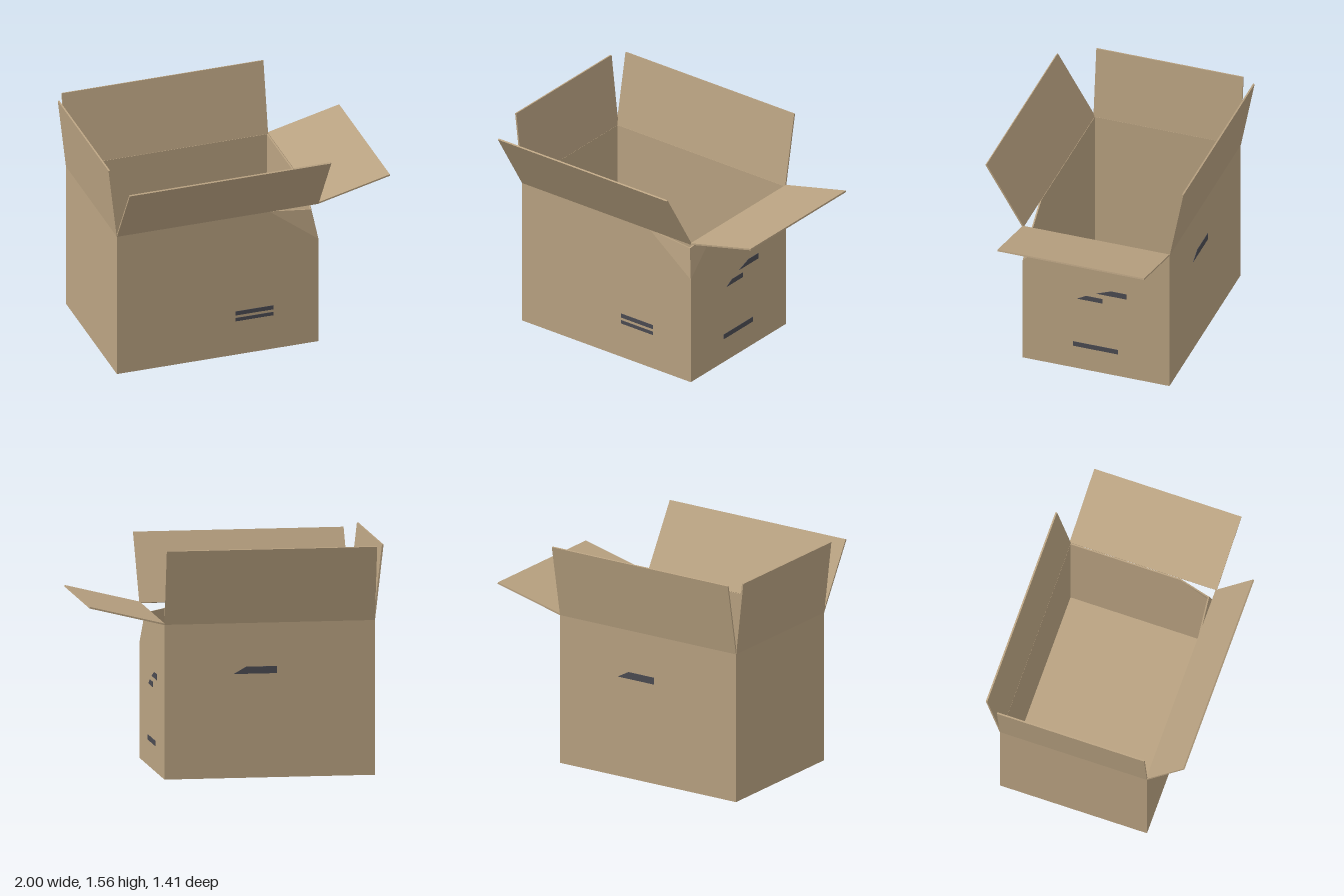
import * as THREE from 'three';

const X0 = -0.94, X1 = 0.49, Z0 = -0.605, Z1 = 0.44, H = 1.05, T = 0.01;

export function createModel() {
  const group = new THREE.Group();
  const card = new THREE.MeshStandardMaterial({ color: 0xbaa382 });
  card.name = 'cardboard';
  const ink = new THREE.MeshStandardMaterial({ color: 0x4b4b52 });
  ink.name = 'dark ink';

  function add(name, geometry, material = card) {
    const mesh = new THREE.Mesh(geometry, material);
    mesh.name = name;
    group.add(mesh);
    return mesh;
  }

  // Floor and the two straight walls
  const W = X1 - X0, D = Z1 - Z0, cx = (X0 + X1) / 2, cz = (Z0 + Z1) / 2;
  add('floor', new THREE.BoxGeometry(W, T, D)).position.set(cx, T / 2, cz);
  add('leftWall', new THREE.BoxGeometry(T, H, D)).position.set(X0 + T / 2, H / 2, cz);
  add('backWall', new THREE.BoxGeometry(W, H, T)).position.set(cx, H / 2, Z0 + T / 2);

  // Walls whose top corner is crushed inwards; points are [along, height, depth]
  function dentedWall(name, u0, u1, creaseU, tipU, tipDepth, place, flip) {
    const outline = [
      [u0, 0, 0], [u1, 0, 0], [u1, 0.78, 0], [tipU, 0.99, tipDepth], [creaseU, H, 0], [u0, H, 0],
    ];
    const n = outline.length;
    const positions = [0, T].flatMap((t) => outline.flatMap(([u, y, d]) => place(u, y, d + t)));
    const tris = [];
    for (const [a, b, c] of [[0, 1, 2], [0, 2, 4], [0, 4, 5], [2, 3, 4]]) {
      tris.push([a, b, c], [a + n, c + n, b + n]);
    }
    for (let i = 0; i < n; i++) {
      const j = (i + 1) % n;
      tris.push([i, i + n, j + n], [i, j + n, j]);
    }
    const geometry = new THREE.BufferGeometry();
    geometry.setAttribute('position', new THREE.Float32BufferAttribute(positions, 3));
    geometry.setIndex(tris.flatMap(([a, b, c]) => (flip ? [a, c, b] : [a, b, c])));
    const flat = geometry.toNonIndexed();
    flat.computeVertexNormals();
    add(name, flat);
  }
  dentedWall('frontWall', X0, X1, 0.14, 0.452, 0.04, (u, y, d) => [u, y, Z1 - d], false);
  dentedWall('rightWall', Z0, Z1, 0.18, 0.398, 0.038, (u, y, d) => [X1 - d, y, u], true);

  // Open flaps: thin sheets leaning out from each top edge
  function flap(name, width, hinge, yaw, out, rise) {
    const length = Math.hypot(out, rise);
    const sheet = new THREE.BoxGeometry(width, length, 0.011);
    sheet.translate(0, length / 2, 0);
    sheet.rotateX(Math.atan2(out, rise));
    sheet.rotateY(yaw);
    add(name, sheet).position.set(...hinge);
  }
  flap('frontFlap', W, [cx, H, Z1 - 0.004], 0, 0.265, 0.443);
  flap('backFlap', W, [cx, H, Z0 + 0.004], Math.PI, 0.098, 0.51);
  flap('rightFlap', D, [X1, H + 0.003, cz], Math.PI / 2, 0.508, 0.124);
  flap('leftFlap', D, [X0 + 0.004, H, cz], -Math.PI / 2, 0.058, 0.51);

  // Printed marks: bars with an optional slanted leading end
  function mark(name, [u0, u1, y0, y1, slant = 0], position, yaw) {
    const shape = new THREE.Shape([
      new THREE.Vector2(u0, y0), new THREE.Vector2(u1, y0),
      new THREE.Vector2(u1, y1), new THREE.Vector2(u0 + slant, y1),
    ]);
    const mesh = add(name, new THREE.ExtrudeGeometry(shape, { depth: 0.004, bevelEnabled: false }), ink);
    mesh.position.set(...position);
    mesh.rotation.y = yaw;
  }
  for (const bar of [[-0.1, 0.17, 0.3, 0.33], [-0.1, 0.17, 0.255, 0.28]]) {
    mark('frontMark', bar, [0, 0, Z1 - 0.001], 0);
  }
  for (const bar of [
    [0.085, 0.298, 0.63, 0.67, 0.105], [-0.05, 0.128, 0.56, 0.595, 0.06], [-0.08, 0.24, 0.175, 0.21],
  ]) {
    mark('rightMark', bar, [X1 - 0.001, 0, 0], Math.PI / 2);
  }
  mark('backMark', [-0.02, 0.275, 0.705, 0.753, 0.085], [0, 0, Z0 + 0.001], Math.PI);

  return group;
}
